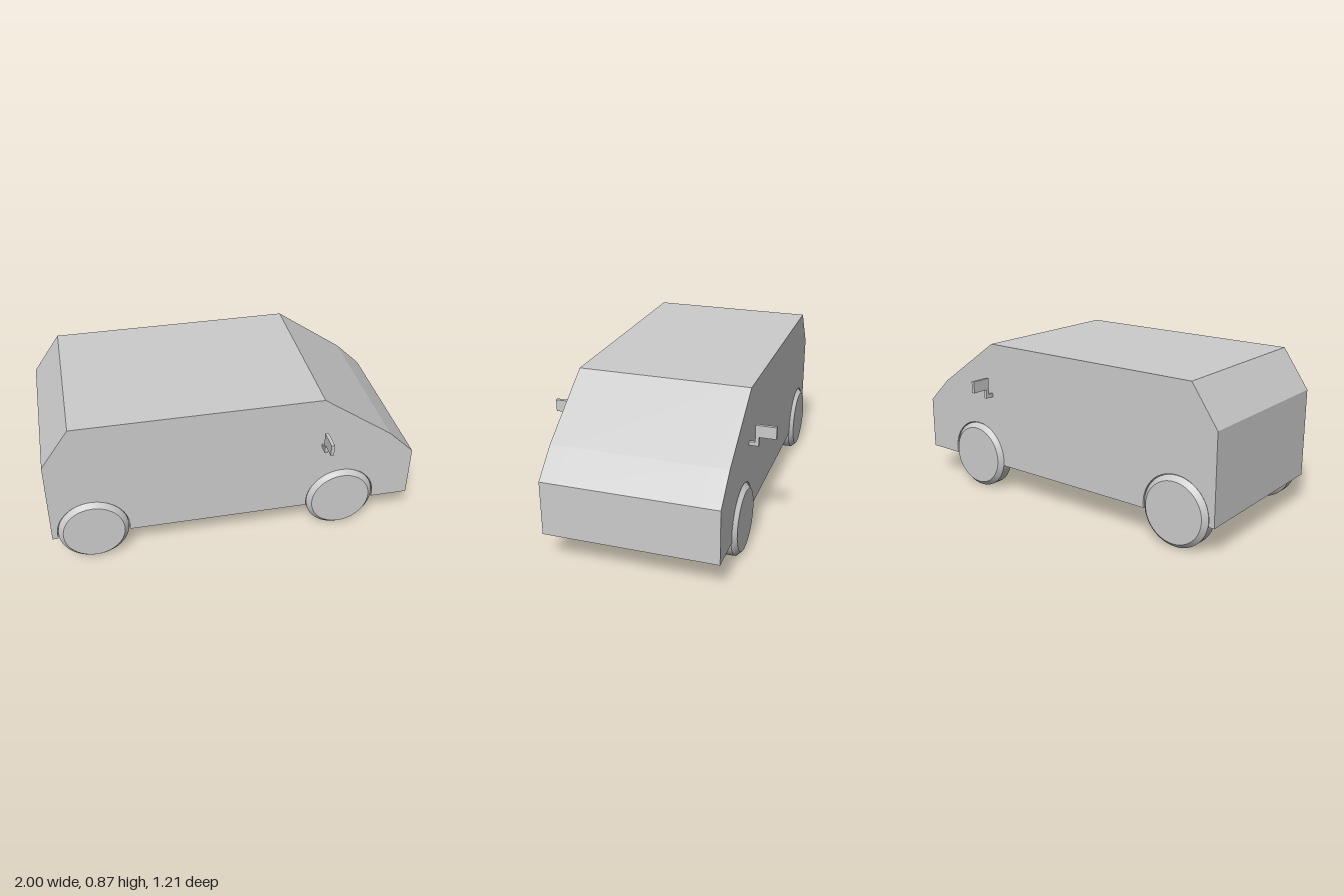
import * as THREE from 'three';
import { toCreasedNormals } from 'three/addons/utils/BufferGeometryUtils.js';

const FLOOR = 0.16, HALF_WIDTH = 0.465, WELL_DEPTH = 0.37;
const WHEEL_R = 0.19, ARCH_R = 0.194, AXLES = [-0.775, 0.6];

const material = new THREE.MeshStandardMaterial({ color: 0xcccccc });

function addMesh(parent, name, geometry) {
  const mesh = new THREE.Mesh(geometry, material);
  mesh.name = name;
  parent.add(mesh);
  return mesh;
}

// Extrudes a shape in z from z0 to z1.
function slab(shape, z0, z1) {
  return new THREE.ExtrudeGeometry(shape, { depth: z1 - z0, bevelEnabled: false, curveSegments: 40 })
    .translate(0, 0, z0);
}

// Side outline of the van, with optional wheel arches cut into its lower edge.
function bodyShape(withArches) {
  const s = new THREE.Shape();
  s.moveTo(-1, FLOOR);
  if (withArches) {
    const a = Math.asin((WHEEL_R - FLOOR) / ARCH_R);
    for (const x of AXLES) {
      s.lineTo(x - ARCH_R * Math.cos(a), FLOOR);
      s.absarc(x, WHEEL_R, ARCH_R, Math.PI + a, -a, true);
    }
  }
  for (const [x, y] of [[1, FLOOR], [1, 0.455], [0.855, 0.595], [0.47, 0.865], [-0.85, 0.865], [-1, 0.65]]) {
    s.lineTo(x, y);
  }
  s.closePath();
  return s;
}

// Wheel with chamfered edges, its axis along z.
function wheelGeometry() {
  const profile = [[0, -0.055], [0.165, -0.055], [WHEEL_R, -0.03], [WHEEL_R, 0.03], [0.165, 0.055], [0, 0.055]]
    .map(([r, y]) => new THREE.Vector2(r, y));
  return toCreasedNormals(new THREE.LatheGeometry(profile, 48).rotateX(Math.PI / 2), 0.5);
}

// Cranked mirror outline: x is the distance out from the centre line.
function mirrorGeometry() {
  const outline = [[0.455, 0.56], [0.515, 0.56], [0.515, 0.61], [0.605, 0.61],
    [0.605, 0.675], [0.496, 0.675], [0.496, 0.58], [0.455, 0.58]];
  const shape = new THREE.Shape(outline.map(([x, y]) => new THREE.Vector2(x, y)));
  return slab(shape, -0.009, 0.009).rotateY(-Math.PI / 2);
}

export function createModel() {
  const van = new THREE.Group();
  van.name = 'van';

  // Body core between the wheel wells, and the two sides with arches
  const body = new THREE.Group();
  body.name = 'body';
  van.add(body);
  addMesh(body, 'bodyCore', slab(bodyShape(false), -WELL_DEPTH, WELL_DEPTH));
  addMesh(body, 'leftBodySide', slab(bodyShape(true), -HALF_WIDTH, -WELL_DEPTH));
  addMesh(body, 'rightBodySide', slab(bodyShape(true), WELL_DEPTH, HALF_WIDTH));

  // Wheels and wing mirrors on both sides
  const wheel = wheelGeometry();
  const mirror = mirrorGeometry();
  for (const side of [-1, 1]) {
    const label = side < 0 ? 'left' : 'right';
    AXLES.forEach((x, i) => {
      addMesh(van, label + (i ? 'FrontWheel' : 'RearWheel'), wheel).position.set(x, WHEEL_R, side * 0.43);
    });
    const wing = addMesh(van, label + 'WingMirror', mirror);
    wing.position.x = 0.482;
    if (side < 0) wing.rotation.y = Math.PI;
  }
  return van;
}
